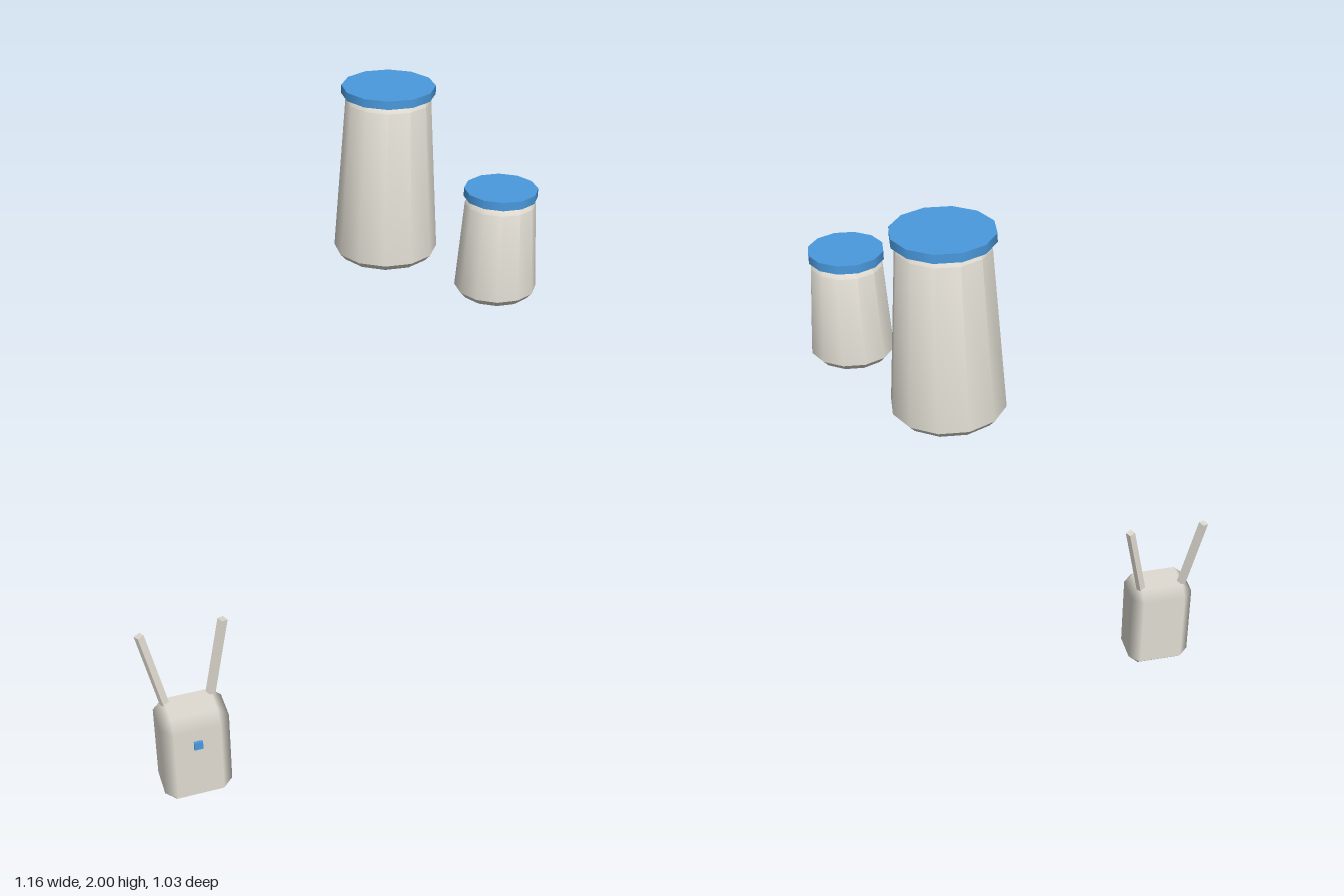
import * as THREE from 'three';
import { toCreasedNormals } from 'three/addons/utils/BufferGeometryUtils.js';
import { ConvexGeometry } from 'three/addons/geometries/ConvexGeometry.js';

const SIDES = 12;
const grey = new THREE.MeshStandardMaterial({ color: 0xcccccc });
const shell = new THREE.MeshStandardMaterial({ color: 0xe0dcd2 });
const blue = new THREE.MeshStandardMaterial({ color: 0x4a9ade });

function part(name, geometry, material, parent) {
  const mesh = new THREE.Mesh(geometry, material);
  mesh.name = name;
  parent.add(mesh);
  return mesh;
}

// Box with one flat bevel per edge; every corner point keeps the normal of its main face
function bevelledBox(w, h, d, bevel) {
  const half = [w / 2, h / 2, d / 2];
  const points = [];
  for (let axis = 0; axis < 3; axis++) {
    for (let corner = 0; corner < 8; corner++) {
      const p = half.map((s, i) => (corner & (1 << i) ? 1 : -1) * (i === axis ? s : s - bevel));
      points.push(new THREE.Vector3(...p));
    }
  }
  const geometry = new ConvexGeometry(points);
  const pos = geometry.attributes.position;
  const normal = geometry.attributes.normal;
  for (let i = 0; i < pos.count; i++) {
    const p = [pos.getX(i), pos.getY(i), pos.getZ(i)];
    normal.setXYZ(i, ...p.map((v, k) => (Math.abs(Math.abs(v) - half[k]) < 1e-4 ? Math.sign(v) : 0)));
  }
  return geometry;
}

// Tapered jar with bevelled ends and an overhanging lid, base at y = 0
function jar(name, x, z, height, baseRadius, shoulderRadius, lidRadius) {
  const group = new THREE.Group();
  group.name = name;
  group.position.set(x, 1.485, z);
  const lidHeight = 0.024;
  const top = height - lidHeight;
  const profile = [
    [0, 0], [baseRadius - 0.017, 0], [baseRadius, 0.019],
    [shoulderRadius, top - 0.018], [shoulderRadius - 0.014, top], [0, top],
  ].map(([r, y]) => new THREE.Vector2(r, y));
  part('jarBody', toCreasedNormals(new THREE.LatheGeometry(profile, SIDES), 0.7), shell, group);
  const lid = new THREE.CylinderGeometry(lidRadius, lidRadius, lidHeight, SIDES);
  part('jarLid', lid, blue, group).position.y = height - lidHeight / 2;
  return group;
}

// Square rod between two points
function rod(name, from, to, parent) {
  const a = new THREE.Vector3(...from);
  const b = new THREE.Vector3(...to);
  const dir = b.clone().sub(a);
  const geometry = new THREE.CylinderGeometry(0.0155, 0.0155, dir.length(), 4).toNonIndexed();
  geometry.computeVertexNormals();
  const mesh = part(name, geometry, shell, parent);
  mesh.position.copy(a).add(b).multiplyScalar(0.5);
  mesh.quaternion.setFromUnitVectors(new THREE.Vector3(0, 1, 0), dir.normalize());
}

export function createModel() {
  const model = new THREE.Group();
  model.name = 'jarsAndDevice';

  // Two jars at the upper back
  model.add(jar('largeJar', 0.146, -0.365, 0.515, 0.154, 0.123, 0.135));
  model.add(jar('smallJar', 0.461, -0.107, 0.315, 0.117, 0.099, 0.103));

  // Device body, turned about the vertical
  const device = new THREE.Group();
  device.name = 'device';
  device.position.set(-0.425, 0, 0.41);
  device.rotation.y = THREE.MathUtils.degToRad(20);
  part('deviceBody', bevelledBox(0.215, 0.335, 0.166, 0.035), shell, device).position.y = 0.1675;
  part('indicatorLight', new THREE.BoxGeometry(0.027, 0.028, 0.02), blue, device).position.set(0, 0.243, 0.082);
  model.add(device);

  // Antennae lean outward from the top of the body
  rod('rightAntenna', [-0.498, 0.3, 0.404], [-0.564, 0.594, 0.404], model);
  rod('leftAntenna', [-0.374, 0.3, 0.358], [-0.324, 0.594, 0.318], model);

  return model;
}
